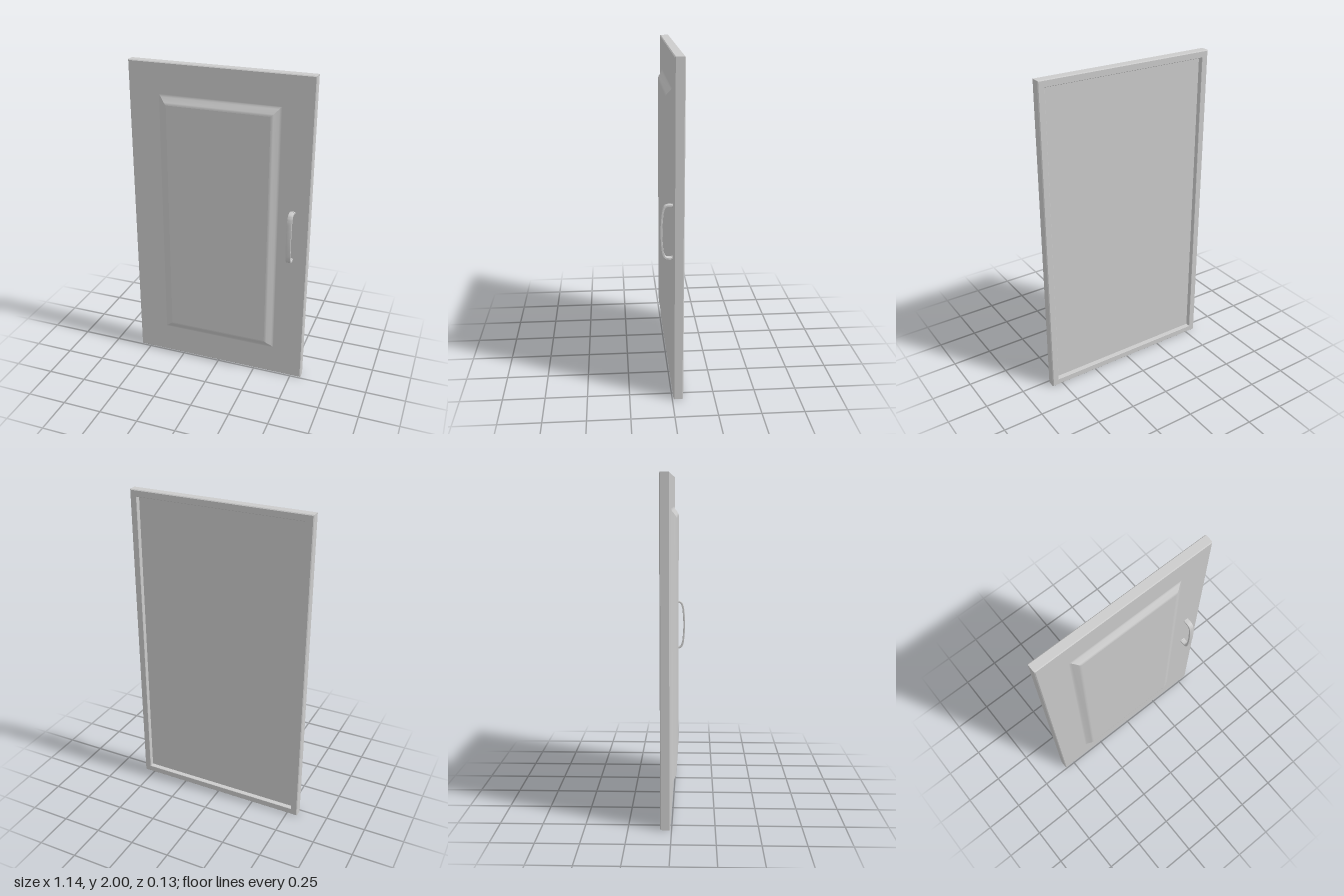
import * as THREE from 'three';
import { mergeGeometries, toCreasedNormals } from 'three/addons/utils/BufferGeometryUtils.js';

const HALF_W = 0.568, HALF_H = 1;
const FACE_Z = -0.007;

// Four corners of a rectangle inset from the door outline, counter-clockwise from the front
function ring([inset, z]) {
  const x = HALF_W - inset, y = HALF_H - inset;
  return [[-x, -y, z], [x, -y, z], [x, y, z], [-x, y, z]];
}

function quads(list) {
  const geo = new THREE.BufferGeometry();
  const points = list.flatMap(([a, b, c, d]) => [a, b, c, a, c, d]).flat();
  geo.setAttribute('position', new THREE.Float32BufferAttribute(points, 3));
  return toCreasedNormals(geo, 0.5);
}

// Door: nested rectangles from the recessed back, round the edge, to the raised panel
function doorGeometry() {
  const profile = [
    [0.042, -0.035], [0.042, -0.063], [0.040, -0.065],
    [0.005, -0.065], [0, -0.060], [0, -0.012], [0.005, FACE_Z],
    [0.190, FACE_Z], [0.194, FACE_Z], [0.205, -0.003],
    [0.232, 0.017], [0.243, 0.022], [0.247, 0.022],
  ];
  const rings = profile.map(ring);
  const last = rings.length - 1;
  const parts = [quads([[...rings[0]].reverse()]), quads([rings[last]])];
  // One strip per side keeps the mitres sharp
  for (let k = 0; k < 4; k++) {
    const n = (k + 1) % 4;
    const strip = [];
    for (let i = 0; i < last; i++) {
      strip.push([rings[i][k], rings[i][n], rings[i + 1][n], rings[i + 1][k]]);
    }
    parts.push(quads(strip));
  }
  return mergeGeometries(parts);
}

// Handle: a flat bowed strap, outlined in side view and extruded across its width
function handleGeometry() {
  const half = [[FACE_Z, 0.157], [0.018, 0.157], [0.036, 0.150], [0.047, 0.126], [0.054, 0.07]];
  const path = [...half, [0.057, 0], ...half.map(([z, y]) => [z, -y]).reverse()];
  const curve = new THREE.CatmullRomCurve3(path.map(([z, y]) => new THREE.Vector3(z, y, 0)));
  const outer = [], inner = [], steps = 56, t = 0.0045;
  for (let i = 0; i <= steps; i++) {
    const p = curve.getPointAt(i / steps);
    const d = curve.getTangentAt(i / steps);
    outer.push(new THREE.Vector2(p.x - d.y * t, p.y + d.x * t));
    inner.push(new THREE.Vector2(p.x + d.y * t, p.y - d.x * t));
  }
  const geo = new THREE.ExtrudeGeometry(new THREE.Shape([...outer, ...inner.reverse()]), {
    depth: 0.025, bevelEnabled: true, bevelThickness: 0.0025, bevelSize: 0.0015, bevelSegments: 2,
  });
  geo.translate(0, 0, -0.0125);
  geo.rotateY(-Math.PI / 2);
  return toCreasedNormals(geo, 0.6);
}

export function createModel() {
  const model = new THREE.Group();
  model.name = 'cabinetDoor';
  const material = new THREE.MeshStandardMaterial({ color: 0xcccccc });

  const door = new THREE.Mesh(doorGeometry(), material);
  door.name = 'doorPanel';
  door.position.y = 1;
  model.add(door);

  const handle = new THREE.Group();
  handle.name = 'handle';
  handle.position.set(0.465, 1.015, 0);
  const grip = new THREE.Mesh(handleGeometry(), material);
  grip.name = 'handleGrip';
  handle.add(grip);

  // Small oval plates where the handle meets the door
  for (const side of [1, -1]) {
    const plate = new THREE.Mesh(new THREE.CylinderGeometry(0.017, 0.019, 0.005, 24), material);
    plate.name = side > 0 ? 'upperHandlePlate' : 'lowerHandlePlate';
    plate.rotation.x = Math.PI / 2;
    plate.scale.z = 0.6;
    plate.position.set(0, side * 0.156, FACE_Z + 0.002);
    handle.add(plate);
  }
  model.add(handle);
  return model;
}
